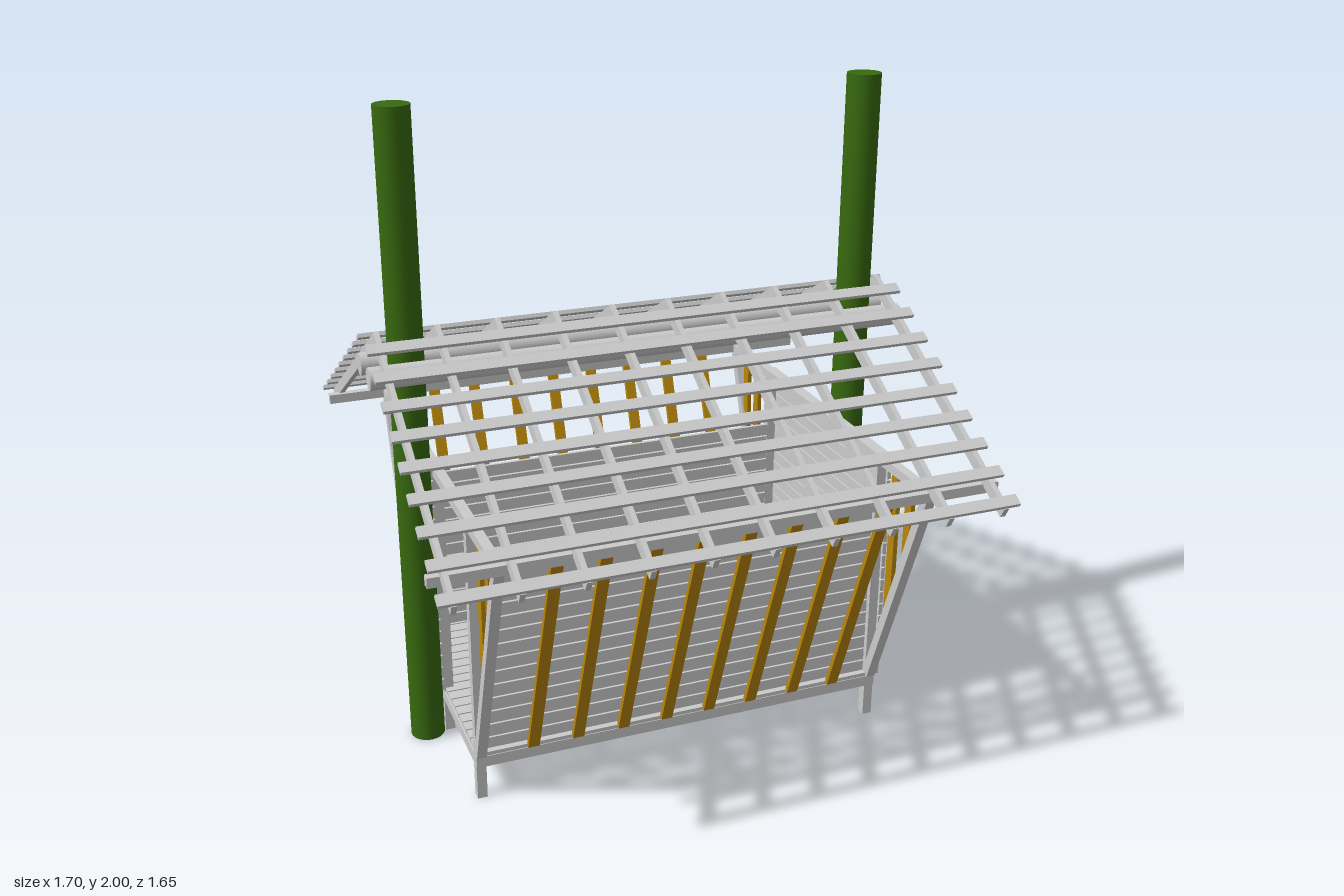
import * as THREE from 'three';

const grey = new THREE.MeshStandardMaterial({ color: 0xcccccc });
const green = new THREE.MeshStandardMaterial({ color: 0x38690f });
const ochre = new THREE.MeshStandardMaterial({ color: 0xb8860b });

export function createModel() {
  const model = new THREE.Group();

  const add = (name, geometry, material = grey) => {
    const mesh = new THREE.Mesh(geometry, material);
    mesh.name = name;
    model.add(mesh);
    return mesh;
  };

  // Box given by its size and centre
  const box = (name, w, h, d, x, y, z, material) => {
    const mesh = add(name, new THREE.BoxGeometry(w, h, d), material);
    mesh.position.set(x, y, z);
    return mesh;
  };

  // Board with a [z, y] outline, w thick along x
  const prism = (name, outline, w, x, material) => {
    const shape = new THREE.Shape(outline.map(([z, y]) => new THREE.Vector2(z, y)));
    const geo = new THREE.ExtrudeGeometry(shape, { depth: w, bevelEnabled: false });
    geo.rotateY(-Math.PI / 2).translate(x + w / 2, 0, 0);
    return add(name, geo, material);
  };

  const sides = [-1, 1];
  const leftX = 0.635, rightX = -0.655, midX = (leftX + rightX) / 2;
  const footXs = [rightX, -0.34, -0.03, 0.285, leftX];

  // Tall round poles
  for (const s of sides) {
    const pole = add('pole', new THREE.CylinderGeometry(0.053, 0.053, 2, 32), green);
    pole.position.set(s * 0.725, 1, 0);
  }

  // Floor: joists, edge beams, middle feet and planks
  for (const x of footXs) {
    box('joist', 0.03, 0.035, 0.82, x, 0.1275, 0);
    box('middleFoot', 0.03, 0.11, 0.03, x, 0.055, 0);
  }
  for (const s of sides) box('edgeBeam', 1.32, 0.035, 0.03, midX, 0.1275, s * 0.395);
  const floorCount = 18, floorPitch = 0.82 / floorCount;
  for (let i = 0; i < floorCount; i++) {
    box('floorPlank', 1.31, 0.012, floorPitch - 0.005, midX, 0.151, -0.41 + (i + 0.5) * floorPitch);
  }

  // End frames: corner posts, top rail, leaning posts and short slats
  for (const x of [rightX, leftX]) {
    box('topRail', 0.03, 0.03, 1.4, x, 0.905, 0);
    for (const s of sides) {
      box('cornerPost', 0.03, 0.9, 0.03, x, 0.45, s * 0.39);
      prism('leaningPost', [[0.383, 0.145], [0.415, 0.145], [0.705, 0.918], [0.671, 0.918]]
        .map(([z, y]) => [s * z, y]), 0.03, x);
      for (const z of [0.495, 0.58]) {
        const foot = (zz) => 0.16 + (zz - 0.4) * 2.67;
        const a = z - 0.018, b = z + 0.018;
        prism('endSlat', [[a, foot(a)], [b, foot(b)], [b, 0.892], [a, 0.892]]
          .map(([zz, y]) => [s * zz, y]), 0.014, x, ochre);
      }
    }
  }

  // End walls: one full, one with a doorway in its front half
  const pitch = 0.0428;
  for (let i = 0; i < 18; i++) {
    const y = 0.149 + (i + 0.5) * pitch;
    box('endWallPlank', 0.012, pitch - 0.005, 0.83, leftX + 0.021, y, 0);
    box('doorWallPlank', 0.012, pitch - 0.005, 0.435, rightX - 0.021, y, -0.1975);
  }
  box('doorPost', 0.03, 0.75, 0.03, rightX, 0.52, 0.005);

  // Long walls and leaning rack bars
  for (const s of sides) {
    for (let i = 0; i < 13; i++) {
      box('longWallPlank', 1.28, 0.039, 0.012, midX, 0.15 + (i + 0.5) * 0.044, s * 0.382);
    }
    for (const x of [0.07, 0.21, 0.355, 0.495]) {
      for (const m of sides) {
        prism('rackBar', [[0.4, 0.148], [0.416, 0.148], [0.694, 0.892], [0.678, 0.892]]
          .map(([z, y]) => [s * z, y]), 0.035, m * x, ochre);
      }
    }
    box('wallPlate', 1.7, 0.03, 0.026, 0, 0.905, s * 0.692);
  }

  // Ridge logs
  for (const s of sides) {
    const log = add('ridgeLog', new THREE.CylinderGeometry(0.034, 0.034, 1.7, 24));
    log.rotation.z = Math.PI / 2;
    log.position.set(0, 1.24, s * 0.067);
  }

  // Rafter pairs, mitred at the ridge
  const slope = 0.567, angle = Math.atan(slope), apex = 1.355;
  const rafter = [[0, apex], [0.82, apex - 0.82 * slope], [0.802, 0.858], [0, 1.313],
    [-0.802, 0.858], [-0.82, apex - 0.82 * slope]];
  for (let i = 0; i < 10; i++) prism('rafter', rafter, 0.016, -0.807 + i * 0.1793);

  // Roof battens
  for (const s of sides) {
    for (let i = 0; i < 9; i++) {
      const z = 0.065 + i * 0.0925;
      const batten = box('roofBatten', 1.7, 0.012, 0.036, 0, apex - z * slope + 0.006, s * z);
      batten.rotation.x = s * angle;
    }
  }

  return model;
}
